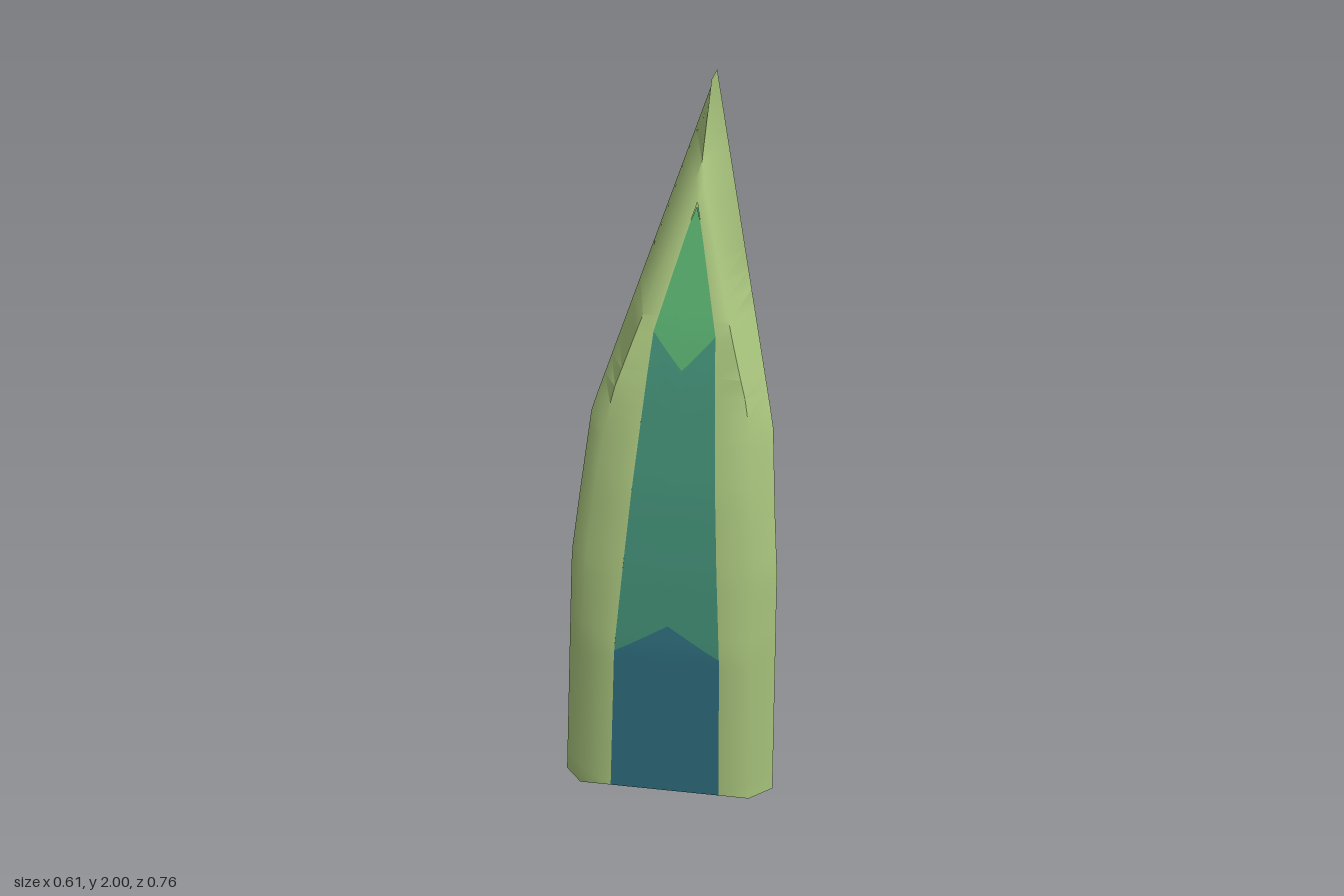
import * as THREE from 'three';
import { toCreasedNormals } from 'three/addons/utils/BufferGeometryUtils.js';

// piecewise-linear lookup: rows are [y, value]
function at(rows, y) {
  for (let i = 1; i < rows.length; i++) {
    const [y0, v0] = rows[i - 1], [y1, v1] = rows[i];
    if (y <= y1) return v0 + (v1 - v0) * (y - y0) / (y1 - y0);
  }
  return rows[rows.length - 1][1];
}

// rails along the height: half width and depth
const front = {
  top: 2,
  w: [[0, 0.25], [0.69, 0.25], [1, 0.225], [1.18, 0.2], [1.79, 0], [2, 0]],
  z: [[0, 0.385], [0.45, 0.355], [0.69, 0.312], [0.915, 0.26], [1.1, 0.2], [1.24, 0.153], [1.365, 0.1], [1.71, -0.085], [2, -0.28]],
};
const edge = {
  top: 1.99,
  w: [[0, 0.305], [0.68, 0.305], [1.1, 0.27], [1.99, 0]],
  z: [[0, 0.31], [0.68, 0.245], [0.85, 0.205], [1.1, 0.13], [1.99, -0.36]],
};
const back = {
  top: 1.885,
  w: [[0, 0.25], [0.55, 0.25], [0.86, 0.235], [1.1, 0.21], [1.885, 0]],
  z: [[0, 0.245], [0.55, 0.197], [0.86, 0.13], [1.1, 0.04], [1.885, -0.38]],
};
const stripe = [[0, 0.16], [0.43, 0.156], [0.9, 0.125], [1.36, 0.092], [1.64, 0.018], [1.69, 0]];

// coloured bands of the stripe; limits depend on f, 0 at the middle and 1 at its edge
const bands = [
  [1, () => 0, f => 0.52 - 0.09 * f],
  [2, f => 0.52 - 0.09 * f, f => 1.26 + 0.1 * f],
  [3, f => 1.26 + 0.1 * f, () => 1.69],
];

export function createModel() {
  const colours = { paleGreen: 0xa3be79, deepBlue: 0x2d6b7a, teal: 0x408a72, brightGreen: 0x54a76a };
  const materials = Object.entries(colours).map(([name, color]) => {
    const m = new THREE.MeshStandardMaterial({ color, side: THREE.DoubleSide });
    m.name = name;
    return m;
  });
  const faces = materials.map(() => []);

  function triangle(m, a, b, c, flip) {
    const area = b.clone().sub(a).cross(c.clone().sub(a)).length();
    if (area < 1e-7) return;
    for (const p of flip ? [a, c, b] : [a, b, c]) faces[m].push(p.x, p.y, p.z);
  }

  // grid of quads from a point function of u (across) and v (up), mirrored to both sides
  function patch(m, nu, nv, point, flip) {
    for (const side of [1, -1]) {
      const P = (i, j) => {
        const [x, y, z] = point(i / nu, j / nv);
        return new THREE.Vector3(x * side, y, z);
      };
      const turn = (side < 0) !== flip;
      for (let i = 0; i < nu; i++) for (let j = 0; j < nv; j++) {
        const a = P(i, j), b = P(i + 1, j), c = P(i + 1, j + 1), d = P(i, j + 1);
        triangle(m, a, b, c, turn);
        triangle(m, a, c, d, turn);
      }
    }
  }

  const rows = 40;
  for (const rail of [front, back]) {
    const flip = rail === back;
    // pale border beside the stripe
    patch(0, 1, rows, (u, v) => {
      const y = v * rail.top, s = at(stripe, y), w = at(rail.w, y);
      return [s + (w - s) * u, y, at(rail.z, y)];
    }, flip);
    // stripe bands with chevron limits
    for (const [m, low, high] of bands) {
      patch(m, 4, 16, (u, v) => {
        const y = low(u) + (high(u) - low(u)) * v;
        return [u * at(stripe, y), y, at(rail.z, y)];
      }, flip);
    }
  }

  // bevelled sides, front to edge and edge to back; the base stays open
  for (const [from, to] of [[front, edge], [edge, back]]) {
    patch(0, 1, rows, (u, v) => {
      const r = u < 0.5 ? from : to, y = v * r.top;
      return [at(r.w, y), y, at(r.z, y)];
    }, false);
  }

  // one shell with a colour group per material
  let geometry = new THREE.BufferGeometry();
  geometry.setAttribute('position', new THREE.Float32BufferAttribute(faces.flat(), 3));
  geometry = toCreasedNormals(geometry, 1.02);
  let start = 0;
  faces.forEach((f, m) => {
    geometry.addGroup(start, f.length / 3, m);
    start += f.length / 3;
  });
  const shell = new THREE.Mesh(geometry, materials);
  shell.name = 'curvedBladeShell';

  const group = new THREE.Group();
  group.name = 'curvedBlade';
  group.add(shell);
  return group;
}
